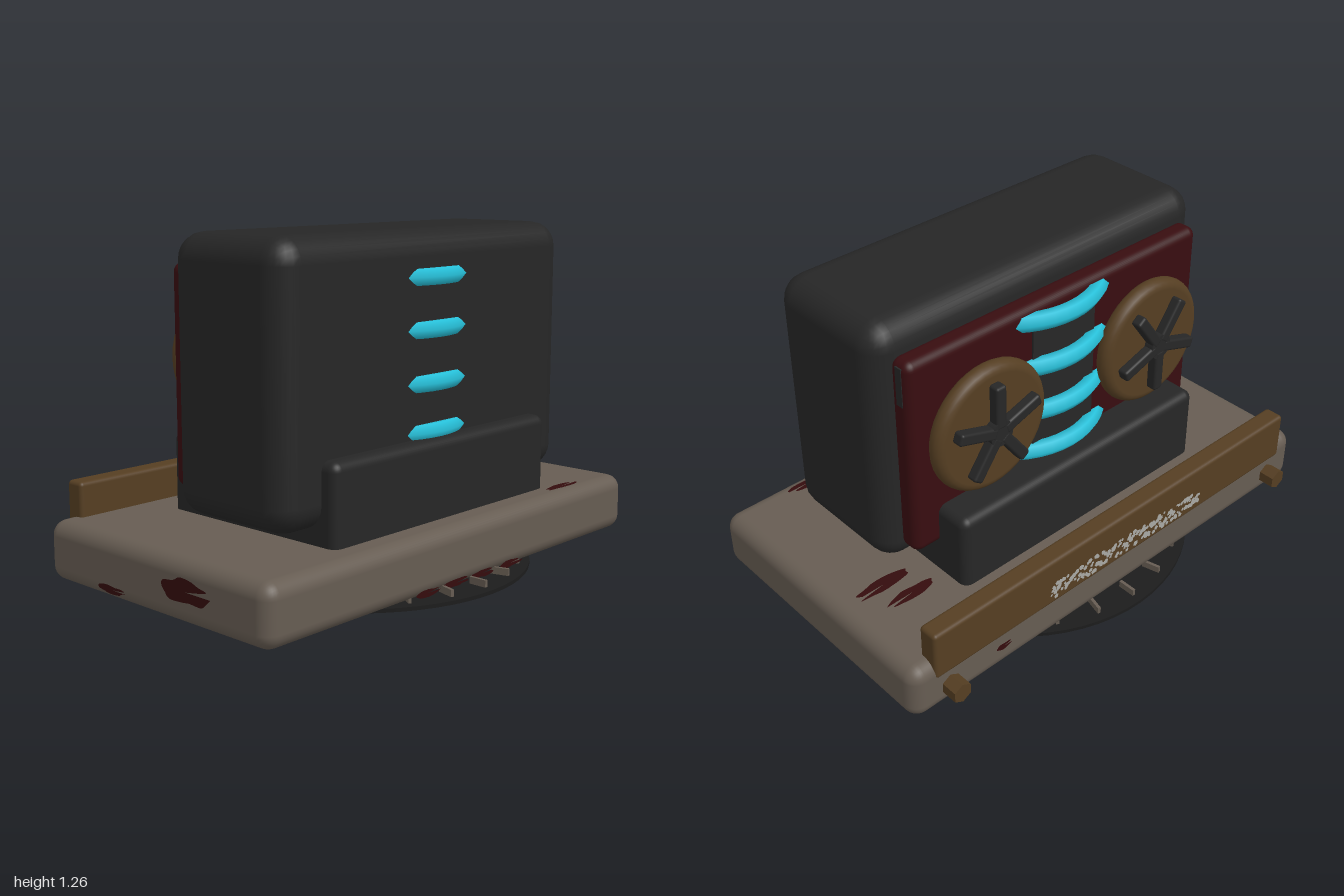
import * as THREE from 'three';
import { mergeGeometries } from 'three/addons/utils/BufferGeometryUtils.js';
import { RoundedBoxGeometry } from 'three/addons/geometries/RoundedBoxGeometry.js';

function material(name, color, side = THREE.FrontSide) {
  const m = new THREE.MeshStandardMaterial({ color, side });
  m.name = name;
  return m;
}

export function createModel() {
  const charcoal = material('charcoal', 0x262626);
  const stone = material('stone', 0x665c52);
  const brass = material('brass', 0x553e22);
  const maroon = material('maroon', 0x380d10);
  const cyan = material('cyan', 0x26bfd8);
  const black = material('black', 0x1c1c1c);
  const stain = material('stain', 0x340c0d, THREE.DoubleSide);
  const silver = material('silver', 0xa8a8a4, THREE.DoubleSide);

  const model = new THREE.Group();
  let seed = 7;
  const rand = () => (seed = (seed * 16807) % 2147483647) / 2147483647;

  function add(name, geometry, mat, x = 0, y = 0, z = 0, parent = model) {
    const mesh = new THREE.Mesh(geometry, mat);
    mesh.name = name;
    mesh.position.set(x, y, z);
    parent.add(mesh);
    return mesh;
  }
  // Rounded box given by its lower and upper limits in y and z, centred on x
  function block(name, w, y0, y1, z0, z1, r, mat, segments = 4) {
    return add(name, new RoundedBoxGeometry(w, y1 - y0, z1 - z0, segments, r), mat, 0, (y0 + y1) / 2, (z0 + z1) / 2);
  }

  // Turntable disc with radial tick marks
  add('turntableDisc', new THREE.CylinderGeometry(0.665, 0.665, 0.014, 64), black, 0, 0.007, 0);
  for (let i = 0; i < 24; i++) {
    const a = (i / 24) * Math.PI * 2;
    const tick = add('discTick', new THREE.BoxGeometry(0.012, 0.026, 0.07), stone, Math.sin(a) * 0.595, 0.027, Math.cos(a) * 0.595);
    tick.rotation.y = a;
  }

  // Base slab, cradle and main housing
  block('base', 2, 0.02, 0.24, -0.567, 0.567, 0.055, stone);
  block('cradle', 1.18, 0.18, 0.53, -0.36, 0.457, 0.035, charcoal);
  block('housing', 1.54, 0.29, 1.265, -0.15, 0.397, 0.095, charcoal, 3);

  // Rear panel with its dark centre window
  block('rearPanel', 1.39, 0.365, 1.155, -0.225, -0.13, 0.035, maroon);
  add('panelWindow', new THREE.BoxGeometry(0.3, 0.62, 0.008), charcoal, 0, 0.78, -0.228);
  add('panelStreak', new THREE.BoxGeometry(0.008, 0.15, 0.03), charcoal, 0.693, 1.06, -0.182);

  // Glowing rings running through the housing
  for (const y of [1.1, 0.915, 0.725, 0.55]) {
    const ring = add('energyRing', new THREE.TorusGeometry(0.334, 0.034, 6, 48), cyan, 0, y, 0.066);
    ring.rotation.x = Math.PI / 2;
  }

  // Reels: rounded disc, hub and five spokes
  const profile = [new THREE.Vector2(0, -0.035)];
  for (let i = 0; i <= 8; i++) {
    const a = -Math.PI / 2 + (i / 8) * Math.PI;
    profile.push(new THREE.Vector2(0.215 + Math.cos(a) * 0.035, Math.sin(a) * 0.035));
  }
  profile.push(new THREE.Vector2(0, 0.035));
  for (const side of [1, -1]) {
    const reel = new THREE.Group();
    reel.name = side > 0 ? 'leftReel' : 'rightReel';
    reel.position.set(side * 0.395, 0.81, -0.27);
    if (side < 0) reel.rotation.z = Math.PI;
    model.add(reel);
    add('reelDisc', new THREE.LatheGeometry(profile, 40), brass, 0, 0, 0, reel).rotation.x = -Math.PI / 2;
    add('reelHub', new THREE.CylinderGeometry(0.05, 0.05, 0.05, 16), charcoal, 0, 0, -0.048, reel).rotation.x = Math.PI / 2;
    for (let i = 0; i < 5; i++) {
      const a = (i / 5) * Math.PI * 2;
      const spoke = add('reelSpoke', new RoundedBoxGeometry(0.045, 0.17, 0.045, 2, 0.01), charcoal, -Math.sin(a) * 0.105, Math.cos(a) * 0.105, -0.052, reel);
      spoke.rotation.z = a;
    }
  }

  // Rear rail and its pegs
  block('rearRail', 1.81, 0.17, 0.367, -0.572, -0.492, 0.015, brass, 3);
  for (const side of [1, -1]) {
    const peg = add('peg', new THREE.CylinderGeometry(0.04, 0.04, 0.08, 6).toNonIndexed(), brass, side * 0.84, 0.11, -0.59);
    peg.geometry.computeVertexNormals();
    peg.rotation.x = Math.PI / 2;
  }

  // Worn silver flecks along the rail
  const flecks = [];
  for (let i = 0; i < 170; i++) {
    const g = new THREE.CircleGeometry(0.006 + rand() * 0.007, 5);
    g.rotateZ(rand() * 6);
    g.translate(-0.39 + (i / 169) * 0.78, 0.25 + (rand() - 0.5) * 0.068, 0);
    flecks.push(g.rotateY(Math.PI));
  }
  add('railFlecks', mergeGeometries(flecks), silver, 0, 0, -0.588);

  // Irregular flat stains on the base
  function splat(x, y, z, w, h, rx = 0, ry = 0) {
    const points = [];
    for (let i = 0; i < 14; i++) {
      const a = (i / 14) * Math.PI * 2, r = 0.75 + rand() * 0.35;
      points.push(new THREE.Vector2(Math.cos(a) * w * 0.5 * r, Math.sin(a) * h * 0.5 * r));
    }
    const shape = new THREE.Shape();
    shape.splineThru([...points, points[0]].slice(1));
    const mesh = add('stain', new THREE.ShapeGeometry(shape, 3), stain, x, y, z);
    mesh.rotation.set(rx, ry, 0);
  }
  const flat = -Math.PI / 2;
  splat(0.74, 0.243, -0.25, 0.22, 0.06, flat);
  splat(0.79, 0.243, -0.15, 0.24, 0.065, flat);
  splat(0.65, 0.243, 0.5, 0.19, 0.045, flat);
  splat(-1.003, 0.14, 0.19, 0.24, 0.09, 0, flat);
  splat(-1.0, 0.06, -0.2, 0.15, 0.03, 0, flat);
  splat(0.6, 0.12, -0.57, 0.07, 0.03, 0, Math.PI);
  for (const x of [-0.24, -0.08, 0.07, 0.24]) splat(x, 0.035, 0.56, 0.14, 0.03);

  return model;
}
